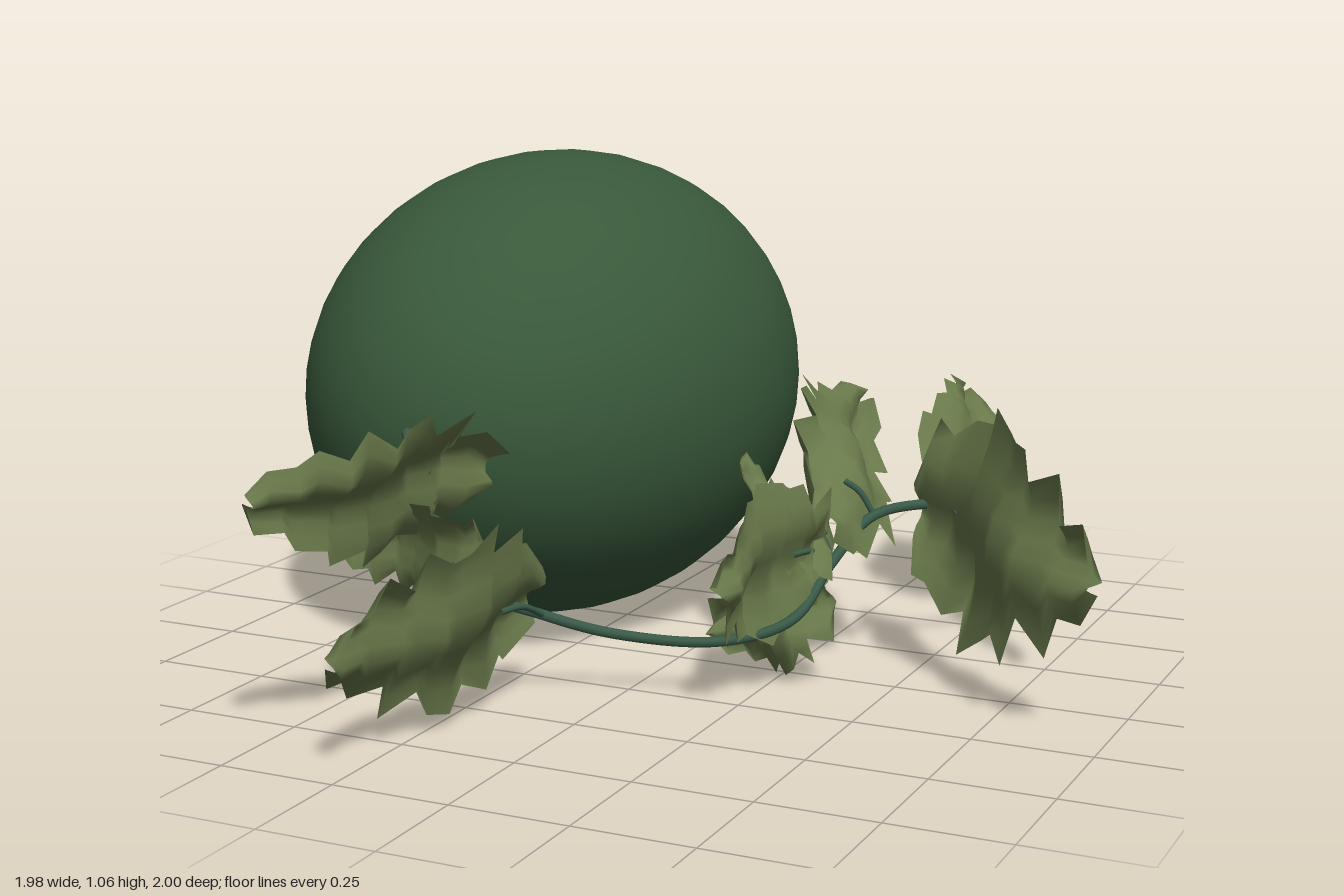
import * as THREE from 'three';

const rind = new THREE.MeshStandardMaterial({ name: 'rind green', color: 0x39593b });
const vineGreen = new THREE.MeshStandardMaterial({ name: 'vine green', color: 0x3a5a48 });
const leafGreen = new THREE.MeshStandardMaterial({ name: 'leaf green', color: 0x68784a, side: THREE.DoubleSide });

const V = (p) => new THREE.Vector3(...p);

// Smooth tube through a few points
function stem(name, points, radius, segments) {
  const curve = new THREE.CatmullRomCurve3(points);
  const mesh = new THREE.Mesh(new THREE.TubeGeometry(curve, segments, radius, 8), vineGreen);
  mesh.name = name;
  return mesh;
}

// Jagged half-widths from leaf base to tip, in [position, width] steps
const outline = [
  [0, 0.3], [0.06, 0.72], [0.16, 0.62], [0.19, 0.92], [0.32, 0.8], [0.36, 1.05],
  [0.5, 0.95], [0.53, 0.78], [0.64, 0.92], [0.68, 0.6], [0.8, 0.72], [0.84, 0.4], [0.94, 0.42], [1, 0.08],
];

// Curled leaf blade spanned by its base, its tip and a half-width vector
function leaf(base, tip, half, seed) {
  const b = V(base), w = V(half), along = V(tip).sub(b);
  const normal = along.clone().cross(w).normalize();
  const columns = 8, positions = [], index = [];
  const point = (t, s, width) => {
    const ripple = 0.022 * Math.sin(t * 8 + seed) + 0.018 * Math.sin(s * 4 + t * 4 + seed * 2);
    return b.clone().addScaledVector(along, t).addScaledVector(w, s * width).addScaledVector(normal, ripple);
  };
  outline.forEach(([t, width], i) => {
    for (let j = 0; j <= columns; j++) {
      const s = (j / columns) * 2 - 1;
      const jag = 1 + 0.1 * Math.sin(i * 2.3 + seed + (s > 0 ? 1.7 : 0)) * Math.abs(s);
      const skew = t - 0.05 * Math.abs(s) * Math.cos(i * 1.9 + seed) * (1 - t);
      positions.push(...point(skew, s, width * jag).toArray());
      if (i && j) {
        const d = i * (columns + 1) + j, c = d - 1, a = d - columns - 2, e = d - columns - 1;
        index.push(a, e, d, a, d, c);
      }
    }
  });
  const geometry = new THREE.BufferGeometry();
  geometry.setAttribute('position', new THREE.Float32BufferAttribute(positions, 3));
  geometry.setIndex(index);
  geometry.computeVertexNormals();
  const mesh = new THREE.Mesh(geometry, leafGreen);
  mesh.name = 'leafBlade';
  return { mesh, joint: point(0.22, 0, 1) };
}

export function createModel() {
  const model = new THREE.Group();
  model.name = 'melonOnVine';

  // Oval fruit lying along z
  const fruit = new THREE.Mesh(new THREE.SphereGeometry(1, 40, 28).rotateX(Math.PI / 2), rind);
  fruit.name = 'fruit';
  fruit.scale.set(0.53, 0.53, 0.695);
  fruit.position.set(-0.45, 0.54, -0.305);
  model.add(fruit);

  // Main vine from the end of the fruit to the far tip
  const path = [
    [-0.45, 0.54, 0.37], [-0.43, 0.55, 0.41], [-0.35, 0.42, 0.46], [-0.24, 0.25, 0.45],
    [-0.13, 0.19, 0.38], [0, 0.14, 0.29], [0.2, 0.13, 0.21], [0.32, 0.17, 0.13], [0.36, 0.27, 0.01],
    [0.41, 0.35, -0.1], [0.53, 0.37, -0.19], [0.62, 0.36, -0.28], [0.65, 0.33, -0.4],
    [0.59, 0.26, -0.54], [0.52, 0.25, -0.6],
  ].map(V);
  model.add(stem('vine', path, 0.011, 90));

  // Leaves: vine point, base, tip, half-width
  const leaves = [
    [2, [-0.24, 0.49, 0.42], [-0.4, 0.52, 1.0], [0.06, 0.14, 0]],
    [4, [-0.13, 0.23, 0.39], [-0.25, 0.24, 0.99], [0.06, 0.18, 0]],
    [3, [-0.2, 0.33, 0.5], [-0.48, 0.36, 0.57], [0.03, 0.13, 0.06]],
    [8, [0.33, 0.31, 0.04], [0.24, 0.28, 0.37], [0.02, 0.17, 0]],
    [8, [0.36, 0.2, 0.05], [0.09, 0.08, 0.02], [0.05, -0.11, 0.03]],
    [8, [0.36, 0.29, 0.03], [0.07, 0.39, -0.16], [0.06, -0.05, 0.16]],
    [9, [0.36, 0.38, 0.02], [0.25, 0.53, -0.45], [0.11, -0.14, 0.02]],
    [10, [0.48, 0.38, -0.17], [0.97, 0.35, 0.25], [0.02, 0.24, -0.02]],
    [12, [0.48, 0.24, -0.61], [0.77, 0.2, -0.16], [0.02, 0.15, 0]],
    [14, [0.49, 0.27, -0.53], [0.36, 0.49, -0.87], [0.1, -0.09, -0.05]],
  ];
  leaves.forEach(([node, base, tip, half], i) => {
    const group = new THREE.Group();
    group.name = 'leaf' + (i + 1);
    const { mesh, joint } = leaf(base, tip, half, i * 1.3);
    const middle = path[node].clone().lerp(joint, 0.5);
    middle.y += 0.015;
    group.add(mesh, stem('leafStalk', [path[node], middle, joint], 0.007, 12));
    model.add(group);
  });

  return model;
}
